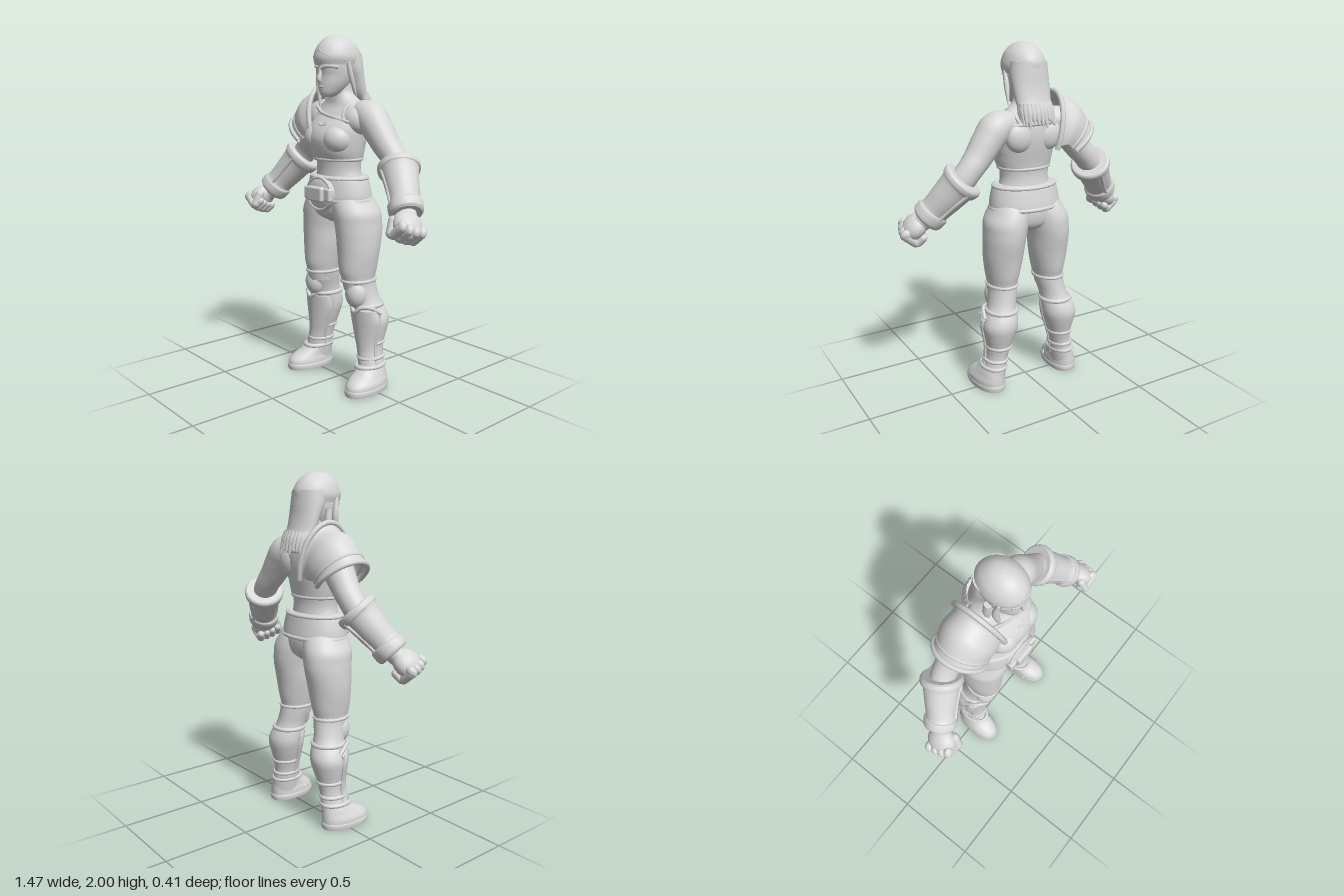
import * as THREE from 'three';
import { RoundedBoxGeometry } from 'three/addons/geometries/RoundedBoxGeometry.js';

const V = (x, y, z) => new THREE.Vector3(x, y, z);
const stone = new THREE.MeshStandardMaterial({ color: 0xd8d8d8, side: THREE.DoubleSide });
stone.name = 'pale stone grey';

// Smooth interpolation through rows of numbers
function spline(rows, n = 5) {
  const out = [], at = i => rows[Math.max(0, Math.min(rows.length - 1, i))];
  for (let i = 0; i < rows.length - 1; i++) {
    for (let k = 0; k < n; k++) {
      const t = k / n, [a, b, c, d] = [at(i - 1), at(i), at(i + 1), at(i + 2)];
      out.push(b.map((_, j) => b[j] + 0.5 * t * (c[j] - a[j] + t * (2 * a[j] - 5 * b[j] + 4 * c[j] - d[j]
        + t * (3 * (b[j] - c[j]) + d[j] - a[j])))));
    }
  }
  out.push(rows[rows.length - 1]);
  return out;
}

// Skin over rings of points; closed rings also get end caps
function loft(rings, closed = true) {
  const pos = [], idx = [], m = rings[0].length;
  rings.forEach(r => r.forEach(p => pos.push(p.x, p.y, p.z)));
  for (let i = 0; i < rings.length - 1; i++) {
    for (let j = 0; j < (closed ? m : m - 1); j++) {
      const k = (j + 1) % m, a = i * m + j, b = i * m + k;
      idx.push(a, a + m, b, b, a + m, b + m);
    }
  }
  if (closed) [rings[0], rings[rings.length - 1]].forEach((r, end) => {
    const c = r.reduce((s, p) => s.add(p), V(0, 0, 0)).divideScalar(m), s = pos.length / 3;
    [c, ...r].forEach(p => pos.push(p.x, p.y, p.z));
    for (let j = 0; j < m; j++) {
      const a = s + 1 + j, b = s + 1 + (j + 1) % m;
      idx.push(s, end ? b : a, end ? a : b);
    }
  });
  const g = new THREE.BufferGeometry();
  g.setAttribute('position', new THREE.Float32BufferAttribute(pos, 3));
  g.setIndex(idx);
  g.computeVertexNormals();
  return g;
}

// Horizontal ring from [y, centreX, radiusX, frontZ, backZ]
function ring([y, cx, rx, zf, zb], e = 1, m = 36) {
  const pw = v => Math.sign(v) * Math.abs(v) ** e;
  return Array.from({ length: m }, (_, j) => {
    const a = j / m * Math.PI * 2;
    return V(cx + rx * pw(Math.cos(a)), y, (zf + zb) / 2 + (zf - zb) / 2 * pw(Math.sin(a)));
  });
}
const body = (rows, e = 1) => loft(spline(rows).map(r => ring(r, e)));

// Round limb along a path of [x, y, z, radius]
function limb(rows, m = 24) {
  const s = spline(rows), P = s.map(r => V(r[0], r[1], r[2]));
  return loft(s.map((r, i) => {
    const t = P[Math.min(i + 1, P.length - 1)].clone().sub(P[Math.max(i - 1, 0)]).normalize();
    const u = V(0, 0, 1).cross(t).normalize(), v = u.clone().cross(t);
    return Array.from({ length: m }, (_, j) => {
      const a = j / m * Math.PI * 2;
      return P[i].clone().addScaledVector(u, r[3] * Math.cos(a)).addScaledVector(v, r[3] * Math.sin(a));
    });
  }));
}
const cord = (pts, r, closed = false) => new THREE.TubeGeometry(
  new THREE.CatmullRomCurve3(pts.map(p => Array.isArray(p) ? V(...p) : p), closed), closed ? 64 : 30, r, 8, closed);
// Half-sunken band around a horizontal ring
const band = ([y, cx, rx, zf, zb], r) => cord(ring([y, cx, rx - r / 2, zf - r / 2, zb + r / 2], 1, 24), r, true);
const ball = (x, y, z, rx, ry, rz) => new THREE.SphereGeometry(1, 28, 18).scale(rx, ry, rz).translate(x, y, z);

function add(group, name, geo) {
  const mesh = new THREE.Mesh(geo, stone);
  mesh.name = name;
  group.add(mesh);
}
// Copy of a group reflected in x, with corner order restored
function mirrored(group, name) {
  const out = new THREE.Group();
  out.name = name;
  group.children.forEach(c => {
    const g = c.geometry.clone().scale(-1, 1, 1), ix = g.index;
    for (let i = 0; i < ix.count; i += 3) {
      const t = ix.getX(i);
      ix.setX(i, ix.getX(i + 1));
      ix.setX(i + 1, t);
    }
    g.computeVertexNormals();
    add(out, c.name, g);
  });
  return out;
}

function makeHead() {
  const g = new THREE.Group(); g.name = 'head';
  add(g, 'face', body([[1.662, 0, .03, .125, .06], [1.685, 0, .054, .138, 0], [1.73, 0, .08, .142, -.05],
    [1.78, 0, .096, .14, -.08], [1.83, 0, .102, .15, -.09], [1.9, 0, .1, .15, -.1]]));
  add(g, 'headWrap', body([[1.835, 0, .108, .156, -.12], [1.87, 0, .116, .165, -.122], [1.905, 0, .111, .158, -.118],
    [1.945, 0, .094, .137, -.095], [1.98, 0, .06, .1, -.055], [1.995, 0, .03, .06, -.02], [2, 0, .004, .025, .015]]));
  for (const s of [-1, 1])
    add(g, 'wrapFold', cord([[s * .108, 1.86, .055], [s * .07, 1.875, .127], [s * .035, 1.895, .148], [0, 1.915, .15]], .007));
  // Face features
  add(g, 'nose', limb([[0, 1.825, .14, .01], [0, 1.785, .146, .012], [0, 1.757, .152, .014], [0, 1.745, .144, .011]], 12));
  add(g, 'lips', ball(0, 1.717, .134, .025, .009, .011));
  for (const s of [-1, 1]) {
    add(g, 'brow', cord([[s * .01, 1.818, .146], [s * .045, 1.828, .134], [s * .085, 1.822, .088]], .012));
    add(g, 'eye', ball(s * .037, 1.797, .119, .02, .007, .012));
  }
  // Hair with ragged ends and locks beside the face
  add(g, 'hair', body([[1.6, 0, .088, -.1, -.175], [1.64, 0, .1, -.065, -.17], [1.69, 0, .106, -.03, -.148],
    [1.76, 0, .111, .0, -.132], [1.83, 0, .114, .04, -.125], [1.9, 0, .108, .05, -.118]]));
  for (let i = 0; i < 13; i++) {
    const a = Math.PI * (1 + i / 12), x = .088 * Math.cos(a), z = -.115 + .055 * Math.sin(a), l = .03 + .03 * (i * 7 % 4) / 3;
    add(g, 'hairTip', limb([[x * .95, 1.68, z + .02, .02], [x, 1.63, z, .022], [x * 1.15, 1.615 - l, z - .028, .003]], 8));
  }
  add(g, 'rightLock', limb([[-.1, 1.86, .08, .01], [-.108, 1.77, .065, .018], [-.1, 1.69, .07, .015], [-.085, 1.6, .075, .003]], 10));
  add(g, 'rightLock', limb([[-.105, 1.8, .02, .02], [-.108, 1.7, .01, .02], [-.095, 1.61, .02, .003]], 10));
  add(g, 'leftLock', limb([[.105, 1.85, .035, .012], [.108, 1.76, .01, .015], [.115, 1.665, -.02, .003]], 10));
  return g;
}

function makeTorso() {
  const g = new THREE.Group(); g.name = 'torso';
  add(g, 'trunk', body([[.955, 0, .05, .06, -.09], [1, 0, .19, .125, -.13], [1.08, 0, .21, .14, -.14], [1.16, 0, .18, .13, -.115],
    [1.24, 0, .148, .12, -.1], [1.31, 0, .15, .12, -.1], [1.4, 0, .172, .13, -.12], [1.48, 0, .185, .13, -.13],
    [1.55, 0, .198, .105, -.135], [1.61, 0, .178, .068, -.12], [1.65, 0, .11, .06, -.09], [1.69, 0, .074, .06, -.07], [1.76, 0, .07, .06, -.06]]));
  add(g, 'cropTop', body([[1.312, 0, .154, .138, -.108], [1.36, 0, .168, .163, -.116], [1.43, 0, .179, .176, -.13],
    [1.49, 0, .186, .157, -.138], [1.54, 0, .188, .118, -.138], [1.57, 0, .186, .09, -.134]], .95));
  add(g, 'topHem', band([1.317, 0, .156, .143, -.111], .01));
  for (const s of [-1, 1]) {
    add(g, 'bust', ball(s * .08, 1.43, .085, .09, .085, .088));
    add(g, 'shoulderBlade', ball(s * .09, 1.5, -.095, .085, .085, .05));
  }
  add(g, 'chestStrap', cord([[-.13, 1.605, .06], [-.05, 1.572, .088], [.06, 1.55, .1], [.165, 1.525, .075]], .01));
  add(g, 'chestClasp', cord([[-.02, 1.515, .135], [.01, 1.505, .142], [.04, 1.515, .135]], .008));
  add(g, 'shoulderStrap', cord([[.12, 1.53, .09], [.115, 1.59, .066], [.115, 1.64, -.01], [.11, 1.6, -.105], [.1, 1.55, -.125]], .009));
  add(g, 'backStrap', cord([[-.17, 1.565, -.075], [-.09, 1.57, -.122], [.09, 1.57, -.122], [.17, 1.565, -.075]], .012));
  // Belt and buckle
  add(g, 'belt', body([[1.08, 0, .208, .15, -.148], [1.1, 0, .214, .16, -.15], [1.15, 0, .208, .157, -.142], [1.21, 0, .192, .15, -.13], [1.225, 0, .18, .142, -.122]], .95));
  add(g, 'beltRim', band([1.09, 0, .215, .16, -.155], .012));
  add(g, 'beltRim', band([1.212, 0, .194, .15, -.134], .01));
  add(g, 'bucklePlate', ball(0, 1.125, .14, .115, .1, .037));
  add(g, 'buckleRim', new THREE.TorusGeometry(.095, .009, 8, 40).scale(1.1, .95, 1).translate(0, 1.125, .157));
  add(g, 'buckle', new RoundedBoxGeometry(.125, .085, .04, 3, .014).translate(0, 1.125, .176));
  for (const s of [-1, 1]) add(g, 'buckleBar', new RoundedBoxGeometry(.055, .075, .035, 3, .012).translate(s * .085, 1.125, .162));
  return g;
}

function makeArm() {
  const g = new THREE.Group(); g.name = 'leftArm';
  add(g, 'arm', limb([[.1, 1.58, -.03, .06], [.2, 1.555, -.04, .09], [.26, 1.49, -.045, .086], [.32, 1.41, -.05, .077],
    [.38, 1.34, -.055, .07], [.44, 1.265, -.035, .07], [.57, 1.1, .05, .055], [.63, 1.035, .09, .05]]));
  add(g, 'chestMuscle', ball(.14, 1.53, .005, .09, .08, .075));
  add(g, 'bracer', limb([[.408, 1.305, -.06, .105], [.415, 1.296, -.055, .117], [.432, 1.275, -.043, .115], [.443, 1.262, -.036, .102],
    [.5, 1.19, 0, .09], [.545, 1.133, .032, .082], [.555, 1.12, .038, .093], [.582, 1.086, .054, .092], [.592, 1.074, .06, .078]]));
  const d = V(.17, -.21, .13).normalize(), n = V(.77, .63, 0);
  n.addScaledVector(d, -n.dot(d)).normalize();
  const w = n.clone().cross(d);
  for (const s of [-1, 1]) { // long ridges edging the outer plate
    const off = w.clone().multiplyScalar(s * .94).addScaledVector(n, -.25);
    add(g, 'bracerRidge', cord([[.425, 1.284, -.05, .112], [.5, 1.19, 0, .09], [.555, 1.12, .037, .083]]
      .map(([x, y, z, r]) => V(x, y, z).addScaledVector(off, r)), .01));
  }
  // Clenched fist
  const M = new THREE.Matrix4().makeBasis(n, d, w).scale(V(1.08, 1.12, 1.1)).setPosition(.643, 1.025, .108);
  const put = (name, geo) => add(g, name, geo.applyMatrix4(M));
  put('palm', ball(0, -.005, 0, .056, .075, .076));
  for (let i = 0; i < 4; i++) {
    const z = (i - 1.5) * .036, y = .05 - .006 * Math.abs(i - 1.5);
    put('knuckle', ball(.03, y - .008, z, .026, .03, .022));
    put('finger', new THREE.CapsuleGeometry(.024, .06, 5, 12).rotateZ(Math.PI / 2).translate(-.01, y - .003, z));
    put('fingerTip', new THREE.CapsuleGeometry(.022, .035, 5, 12).translate(-.05, y - .027, z));
  }
  put('thumb', new THREE.CapsuleGeometry(.024, .06, 5, 12).rotateZ(.5).translate(-.035, .0, -.062));
  return g;
}

function makeLeg() {
  const g = new THREE.Group(); g.name = 'leftLeg';
  add(g, 'thigh', body([[.58, .162, .078, .09, -.105], [.64, .157, .083, .104, -.106], [.7, .155, .095, .118, -.12], [.8, .152, .112, .122, -.136],
    [.9, .148, .118, .128, -.156], [.96, .141, .122, .133, -.161], [1.02, .132, .125, .138, -.158], [1.08, .112, .112, .135, -.14], [1.13, .1, .1, .12, -.11]]));
  add(g, 'calf', body([[.05, .25, .07, .06, -.12], [.12, .237, .068, .055, -.122], [.2, .222, .063, .028, -.118], [.27, .213, .071, .028, -.13],
    [.34, .208, .09, .034, -.15], [.4, .204, .103, .038, -.163], [.45, .195, .098, .045, -.155], [.52, .178, .082, .06, -.125], [.6, .162, .083, .09, -.112], [.645, .158, .087, .104, -.108]]));
  add(g, 'kneeCuff', band([.635, .158, .089, .107, -.111], .01));
  add(g, 'kneeCap', ball(.182, .56, .035, .066, .085, .063));
  // Shin guard with a pointed upper edge
  add(g, 'shinGuard', body([[.14, .238, .064, .048, -.05], [.22, .222, .062, .042, -.05], [.29, .213, .075, .045, -.06],
    [.36, .208, .096, .05, -.08], [.41, .206, .106, .055, -.09], [.47, .202, .098, .062, -.06]], 1.15));
  add(g, 'guardEdge', cord([[.108, .45, -.05], [.125, .49, .015], [.16, .49, .053], [.2, .46, .065], [.24, .49, .053], [.275, .49, .015], [.297, .45, -.05]], .012));
  for (const s of [-1, 1]) add(g, 'guardSide', cord([[.203 + s * .1, .44, -.03], [.207 + s * .092, .37, -.025], [.213 + s * .07, .28, -.02], [.223 + s * .06, .2, -.02], [.238 + s * .064, .11, -.025]], .009));
  add(g, 'calfStrap', band([.49, .184, .092, .055, -.142], .013));
  add(g, 'calfStrap', band([.27, .213, .073, .03, -.134], .011));
  add(g, 'ankleStrap', band([.185, .226, .068, .045, -.122], .011));
  add(g, 'ankleStrap', band([.14, .236, .071, .072, -.124], .012));
  // Foot turned slightly outwards
  const splay = geo => geo.applyMatrix4(new THREE.Matrix4().makeShear(0, 0, 0, 0, .06, 0));
  add(g, 'foot', splay(body([[.02, .257, .082, .172, -.125], [.055, .257, .082, .167, -.125], [.085, .253, .074, .135, -.123],
    [.11, .247, .07, .09, -.12], [.15, .238, .062, .045, -.112]], .9)));
  add(g, 'sole', splay(loft([0, .015, .03, .036].map((y, i) => ring([y, .257, i % 3 ? .086 : .082, i % 3 ? .178 : .174, i % 3 ? -.13 : -.126], .9)))));
  add(g, 'toeSeam', cord([[.182, .05, .075], [.215, .085, .085], [.26, .096, .09], [.3, .085, .085], [.336, .05, .075]], .01));
  return g;
}

// Domed shoulder armour on the right side: [x, y, tilt, height, depth]
function makeShoulderArmour() {
  const g = new THREE.Group(); g.name = 'shoulderArmour';
  const arc = ([x, y, tilt, h, dz]) => Array.from({ length: 29 }, (_, j) => {
    const a = (-18 + j / 28 * 216) * Math.PI / 180, t = tilt * Math.PI / 180;
    return V(x + Math.cos(t) * h * Math.sin(a), y + Math.sin(t) * h * Math.sin(a), -.03 + dz * Math.cos(a));
  });
  const rows = [[-.115, 1.5, 103, .238, .16], [-.14, 1.5, 106, .207, .148], [-.2, 1.5, 120, .19, .156], [-.25, 1.46, 135, .168, .146], [-.275, 1.438, 140, .158, .148]];
  add(g, 'dome', loft(spline(rows).map(arc), false));
  add(g, 'collarRim', cord(arc(rows[0]), .015));
  add(g, 'plateStep', cord(arc([-.247, 1.462, 134.5, .163, .141]), .011));
  add(g, 'lowerRim', cord(arc(rows[4]), .014));
  return g;
}

export function createModel() {
  const model = new THREE.Group();
  model.name = 'armouredFighter';
  const arm = makeArm(), leg = makeLeg();
  model.add(makeHead(), makeTorso(), arm, mirrored(arm, 'rightArm'), leg, mirrored(leg, 'rightLeg'), makeShoulderArmour());
  return model;
}
